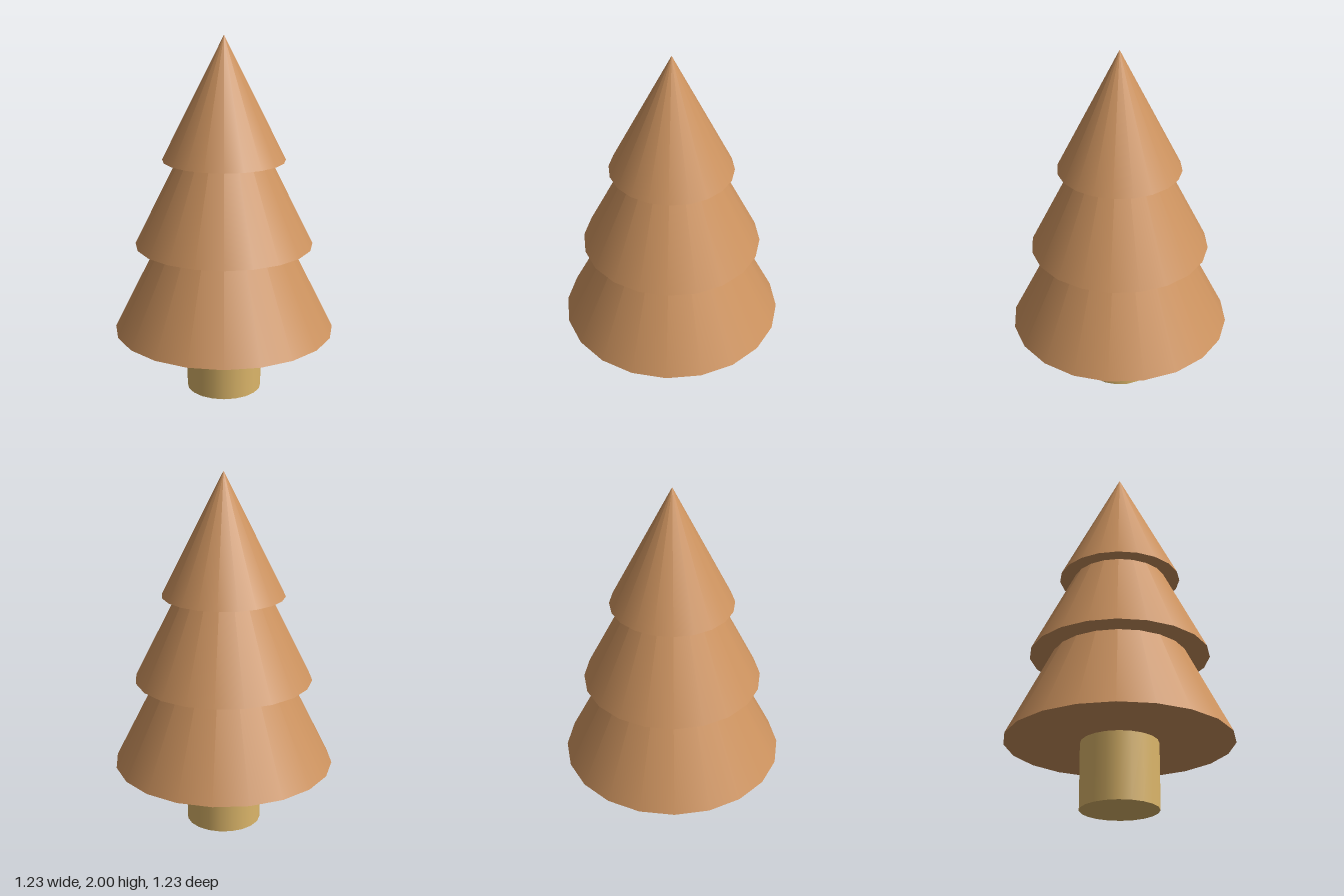
import * as THREE from 'three';

const SIDES = 20;

export function createModel() {
  const tree = new THREE.Group();
  tree.name = 'tree';
  const foliage = new THREE.MeshStandardMaterial({ color: 0xcd935f });
  const bark = new THREE.MeshStandardMaterial({ color: 0xdcb66a });

  const add = (name, geometry, material, y) => {
    const mesh = new THREE.Mesh(geometry, material);
    mesh.name = name;
    mesh.position.y = y;
    tree.add(mesh);
  };

  // Round trunk under the lowest tier
  const trunkHeight = 0.36;
  add('trunk', new THREE.CylinderGeometry(0.21, 0.21, trunkHeight, SIDES), bark, trunkHeight / 2);

  // Three closed cones, each sunk into the one above: name, radius, base, apex
  const tiers = [
    ['lowerFoliage', 0.615, 0.36, 1.59],
    ['middleFoliage', 0.493, 0.853, 1.84],
    ['upperFoliage', 0.338, 1.328, 2],
  ];
  for (const [name, radius, base, apex] of tiers) {
    add(name, new THREE.ConeGeometry(radius, apex - base, SIDES), foliage, (base + apex) / 2);
  }
  return tree;
}
